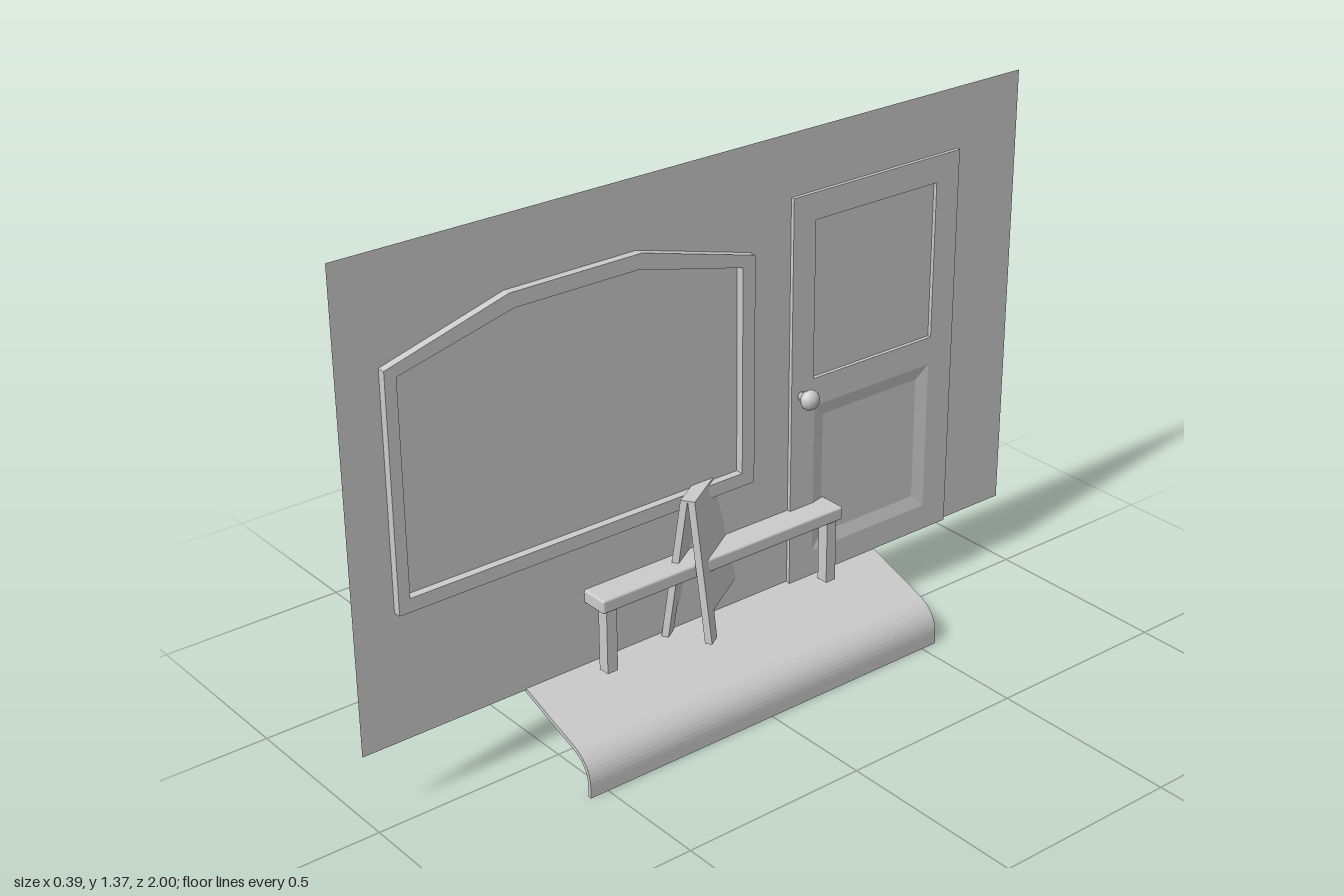
import * as THREE from 'three';
import { RoundedBoxGeometry } from 'three/addons/geometries/RoundedBoxGeometry.js';

const flat = new THREE.MeshStandardMaterial({ color: 0xcccccc, flatShading: true });
const smooth = new THREE.MeshStandardMaterial({ color: 0xcccccc });
const sheet = new THREE.MeshStandardMaterial({ color: 0xcccccc, side: THREE.DoubleSide });

const WALL_X = -0.051, BACK_X = -0.062, DOOR_X = -0.041, FLOOR = 0.175;

function add(parent, name, geometry, material, x = 0, y = 0, z = 0) {
  const mesh = new THREE.Mesh(geometry, material);
  mesh.name = name;
  mesh.position.set(x, y, z);
  parent.add(mesh);
  return mesh;
}

const outline = (points) => points.map(([a, b]) => new THREE.Vector2(a, b));
const rect = (z0, z1, y0, y1) => [[z0, y0], [z1, y0], [z1, y1], [z0, y1]];

// Extrudes a (z, y) outline with holes between two x positions
function slab(parent, name, points, holes, xFront, xBack) {
  const shape = new THREE.Shape(outline(points));
  for (const hole of holes) shape.holes.push(new THREE.Path(outline(hole)));
  const geometry = new THREE.ExtrudeGeometry(shape, { depth: xFront - xBack, bevelEnabled: false });
  add(parent, name, geometry, flat, xFront).rotation.y = -Math.PI / 2;
}

// Sunken panel: sloped border from the door face to a flat centre
function sunkenPanel(z0, z1, y0, y1, xFace, xDeep, border) {
  const loops = [
    rect(z0, z1, y0, y1).map(([z, y]) => [xFace, y, z]),
    rect(z0 + border, z1 - border, y0 + border, y1 - border).map(([z, y]) => [xDeep, y, z]),
  ];
  const index = [4, 5, 6, 4, 6, 7];
  for (let i = 0; i < 4; i++) {
    const j = (i + 1) % 4;
    index.push(i, j, j + 4, i, j + 4, i + 4);
  }
  const geometry = new THREE.BufferGeometry();
  geometry.setAttribute('position', new THREE.Float32BufferAttribute(loops.flat(2), 3));
  geometry.setIndex(index);
  const result = geometry.toNonIndexed();
  result.computeVertexNormals();
  return result;
}

function createDoor() {
  const door = new THREE.Group();
  door.name = 'door';
  const lower = [-0.715, -0.33, 0.245, 0.65];
  slab(door, 'doorFrame', rect(-0.795, -0.255, FLOOR, 1.21),
    [rect(-0.72, -0.325, 0.725, 1.14), rect(...lower)], DOOR_X, BACK_X);
  add(door, 'lowerPanelFront', sunkenPanel(...lower, DOOR_X, -0.049, 0.035), sheet);
  add(door, 'lowerPanelBack', sunkenPanel(...lower, BACK_X, -0.053, 0.035), sheet);
  // Knob turned around the x axis
  const profile = outline([[0, 0], [0.012, 0], [0.012, 0.012], [0.02, 0.018], [0.026, 0.028],
    [0.026, 0.036], [0.02, 0.046], [0.01, 0.051], [0, 0.052]]);
  add(door, 'doorKnob', new THREE.LatheGeometry(profile, 20), smooth, DOOR_X, 0.69, -0.287)
    .rotation.z = -Math.PI / 2;
  return door;
}

function createBench() {
  const bench = new THREE.Group();
  bench.name = 'bench';
  bench.position.x = -0.063;
  add(bench, 'seat', new RoundedBoxGeometry(0.172, 0.036, 0.75, 2, 0.006), smooth, 0, 0.363, 0);
  for (const sx of [-1, 1]) for (const sz of [-1, 1]) {
    add(bench, 'benchLeg', new THREE.BoxGeometry(0.032, 0.175, 0.03), flat,
      sx * 0.062, FLOOR + 0.0875, sz * 0.345);
  }
  return bench;
}

// Two leaning boards, each cut out between its feet
function createSign() {
  const sign = new THREE.Group();
  sign.name = 'foldingSign';
  sign.position.set(-0.063, FLOOR, -0.002);
  sign.rotation.y = -1.013;
  const thick = 0.018, height = 0.375, lean = 0.047;
  const shape = new THREE.Shape(outline([
    [-0.142, 0], [-0.104, 0], [-0.1, 0.073], [0.1, 0.073], [0.104, 0],
    [0.142, 0], [0.13, height], [-0.13, height],
  ]));
  for (const side of [-1, 1]) {
    const geometry = new THREE.ExtrudeGeometry(shape, { depth: thick, bevelEnabled: false });
    geometry.translate(0, 0, -thick / 2);
    const p = geometry.attributes.position;
    for (let i = 0; i < p.count; i++) {
      const offset = 0.056 - lean * p.getY(i) / height;
      p.setZ(i, p.getZ(i) + side * offset);
    }
    geometry.computeVertexNormals();
    add(sign, 'signBoard', geometry, flat);
  }
  return sign;
}

// Sloping pavement slab that rolls over into a kerb
function createKerb() {
  const shape = new THREE.Shape();
  shape.moveTo(-0.07, 0.185);
  shape.lineTo(0.13, 0.115);
  shape.bezierCurveTo(0.175, 0.099, 0.196, 0.07, 0.196, 0.03);
  shape.lineTo(0.196, 0);
  shape.lineTo(0.186, 0);
  shape.lineTo(0.186, 0.03);
  shape.bezierCurveTo(0.186, 0.064, 0.168, 0.09, 0.127, 0.104);
  shape.lineTo(-0.07, 0.174);
  const geometry = new THREE.ExtrudeGeometry(shape,
    { depth: 1.095, bevelEnabled: false, curveSegments: 10 });
  return geometry;
}

export function createModel() {
  const model = new THREE.Group();
  model.name = 'shopFront';

  // Thin wall
  add(model, 'wall', new THREE.PlaneGeometry(2, 1.195), sheet, WALL_X, 0.7725, 0)
    .rotation.y = Math.PI / 2;

  // Window frame with a cut-corner top
  slab(model, 'windowFrame',
    [[0.892, 0.51], [0.892, 1.104], [0.567, 1.195], [0.205, 1.195], [-0.128, 1.104], [-0.128, 0.51]],
    [[[0.862, 0.545], [0.862, 1.082], [0.555, 1.157], [0.218, 1.157], [-0.09, 1.082], [-0.09, 0.545]]],
    -0.03, BACK_X);

  model.add(createDoor(), createBench(), createSign());
  add(model, 'kerb', createKerb(), flat, 0, 0, -0.545);
  return model;
}
